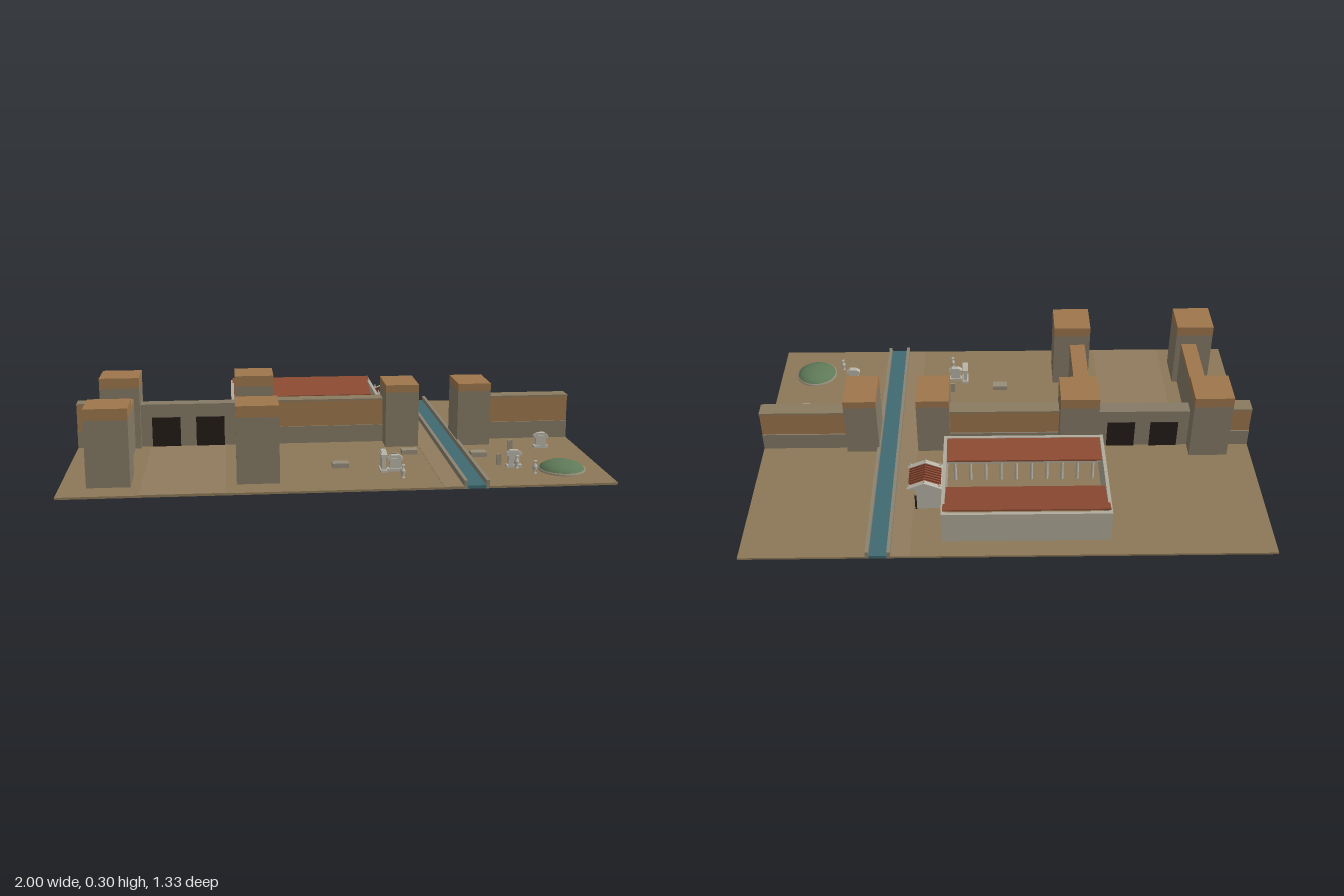
import * as THREE from 'three';

const mat = (color, side = THREE.FrontSide) => new THREE.MeshStandardMaterial({ color, side, roughness: 0.9 });
const M = {
  ground: mat(0x8c7858), road: mat(0x907c5e), stone: mat(0x857a66), brick: mat(0x9e764c),
  coping: mat(0x8a7a60), plaster: mat(0xb0aa9a), marble: mat(0xb8b4a8), tile: mat(0x8c4a32),
  tileRib: mat(0x6f3626), door: mat(0x241c18), water: mat(0x3f6a70), curb: mat(0x8a8270),
  grass: mat(0x5f7a58), tomb: mat(0x968c78),
};

export function createModel() {
  const model = new THREE.Group();
  model.name = 'ancientCityGates';

  const add = (name, geo, material, parent = model) => {
    const mesh = new THREE.Mesh(geo, material);
    mesh.name = name;
    parent.add(mesh);
    return mesh;
  };
  const group = (name) => {
    const g = new THREE.Group();
    g.name = name;
    model.add(g);
    return g;
  };
  // box given by its limits on each axis
  const box = (name, [x0, x1], [y0, y1], [z0, z1], material, parent) => {
    const mesh = add(name, new THREE.BoxGeometry(x1 - x0, y1 - y0, z1 - z0), material, parent);
    mesh.position.set((x0 + x1) / 2, (y0 + y1) / 2, (z0 + z1) / 2);
    return mesh;
  };
  // side profile in (z, y) swept along x
  const sweepX = (name, points, x0, x1, material, parent) => {
    const shape = new THREE.Shape(points.map(([z, y]) => new THREE.Vector2(-z, y)));
    const geo = new THREE.ExtrudeGeometry(shape, { depth: x1 - x0, bevelEnabled: false });
    geo.rotateY(Math.PI / 2).translate(x0, 0, 0);
    return add(name, geo, material, parent);
  };

  const G = 0.008; // ground surface
  const Z = [-0.665, 0.665];

  // Ground, roads and the water channel
  box('groundWest', [-1, 0.437], [0, G], Z, M.ground);
  box('groundEast', [0.53, 1], [0, G], Z, M.ground);
  box('gateRoad', [-0.71, -0.41], [G, 0.0095], [0.04, 0.665], M.road);
  box('streamRoad', [0.365, 0.437], [G, 0.0095], Z, M.road);
  box('water', [0.45, 0.517], [0, 0.012], Z, M.water);
  box('channelCurbWest', [0.437, 0.45], [0, 0.031], Z, M.curb);
  box('channelCurbEast', [0.517, 0.53], [0, 0.031], Z, M.curb);

  // Towers: stone shaft with a mud-brick top
  const tower = (x, z, height, cap) => {
    const g = group('tower');
    box('towerShaft', x, [G, height - cap], z, M.stone, g);
    box('towerTop', x, [height - cap, height], z, M.brick, g);
  };
  for (const x of [[-0.903, -0.747], [-0.37, -0.215]])
    for (const z of [[-0.1, 0.057], [0.412, 0.567]]) tower(x, z, 0.296, 0.042);
  for (const x of [[0.23, 0.363], [0.522, 0.654]]) tower(x, [-0.057, 0.122], 0.262, 0.03);

  // Side walls of the gate court
  for (const x of [[-0.835, -0.77], [-0.348, -0.284]]) {
    box('courtWall', x, [G, 0.19], [0.057, 0.412], M.stone);
    box('courtWallTop', x, [0.19, 0.211], [0.057, 0.412], M.brick);
  }

  // Double gate with dark doors showing on both faces
  box('gateWall', [-0.747, -0.37], [G, 0.181], [-0.03, 0.03], M.stone);
  for (const x of [[-0.703, -0.59], [-0.527, -0.414]])
    box('gateDoor', x, [G, 0.127], [-0.035, 0.035], M.door);

  // City wall: stone footing, brick body, coping
  for (const x of [[-1, -0.903], [-0.215, 0.23], [0.654, 1]]) {
    const g = group('cityWall');
    box('wallFooting', x, [G, 0.078], [-0.032, 0.032], M.stone, g);
    box('wallBrick', x, [0.078, 0.182], [-0.026, 0.026], M.brick, g);
    box('wallCoping', x, [0.182, 0.189], [-0.032, 0.032], M.coping, g);
  }

  // Courtyard hall: four walls, two lean-to roofs and colonnades
  const hall = group('courtyardHall');
  const t = 0.013, hx = [-0.385, 0.25], hz = [-0.588, -0.128], hy = [G, 0.142];
  box('hallBackWall', hx, hy, [hz[0], hz[0] + t], M.plaster, hall);
  box('hallFrontWall', hx, hy, [hz[1] - t, hz[1]], M.plaster, hall);
  box('hallSideWall', [hx[0], hx[0] + t], hy, [hz[0] + t, hz[1] - t], M.plaster, hall);
  box('hallSideWall', [hx[1] - t, hx[1]], hy, [hz[0] + t, hz[1] - t], M.plaster, hall);
  const roof = (zLow, yLow, zHigh, yHigh) => sweepX('hallRoof',
    zLow > zHigh
      ? [[zLow, yLow], [zHigh, yHigh], [zHigh, yHigh - 0.007], [zLow, yLow - 0.007]]
      : [[zLow, yLow], [zLow, yLow - 0.007], [zHigh, yHigh - 0.007], [zHigh, yHigh]],
    hx[0] + 0.006, hx[1] - 0.006, M.tile, hall);
  roof(-0.395, 0.108, -0.575, 0.154);
  roof(-0.245, 0.112, -0.141, 0.139);
  for (const z of [-0.41, -0.235]) {
    box('hallBeam', [hx[0] + t, hx[1] - t], [0.094, 0.104], [z - 0.006, z + 0.006], M.plaster, hall);
    for (let i = 0; i < 10; i++) {
      const col = add('hallColumn', new THREE.CylinderGeometry(0.006, 0.007, 0.086, 10), M.marble, hall);
      col.position.set(-0.34 + i * 0.0606, 0.051, z);
    }
  }

  // Porch on the hall's side: body, gabled tile roof, end pediments
  const porch = group('porch');
  box('porchBody', [0.25, 0.355], [G, 0.127], [-0.405, -0.31], M.marble, porch);
  box('porchDoor', [0.35, 0.357], [G, 0.075], [-0.408, -0.4], M.door, porch);
  box('porchEntablature', [0.25, 0.37], [0.121, 0.129], [-0.412, -0.305], M.marble, porch);
  const gable = (name, z0, z1, x0, x1, y, peak, material) => {
    const s = new THREE.Shape([[x0, y], [x1, y], [(x0 + x1) / 2, peak]].map(p => new THREE.Vector2(...p)));
    const geo = new THREE.ExtrudeGeometry(s, { depth: z1 - z0, bevelEnabled: false });
    add(name, geo.translate(0, 0, z0), material, porch);
  };
  gable('porchRoof', -0.408, -0.308, 0.255, 0.378, 0.129, 0.153, M.tile);
  for (const z of [-0.43, -0.308]) {
    gable('porchPediment', z, z + 0.02, 0.25, 0.383, 0.128, 0.156, M.marble);
    for (const x of [0.258, 0.3165, 0.375]) {
      const finial = add('roofFinial', new THREE.ConeGeometry(0.005, 0.018, 8), M.marble, porch);
      finial.position.set(x, x > 0.3 && x < 0.35 ? 0.161 : 0.143, z + 0.01);
    }
  }
  const slope = Math.atan2(0.024, 0.0615);
  for (const s of [-1, 1]) for (let i = 0; i < 7; i++) {
    const rib = add('tileRib', new THREE.BoxGeometry(0.066, 0.005, 0.004), M.tileRib, porch);
    rib.position.set(0.3165 + s * 0.0308, 0.142, -0.4 + i * 0.014);
    rib.rotation.z = -s * slope;
  }

  // Burial mound with a low stone ring
  const lathe = (name, pts, x, z, material, n = 32) => {
    const mesh = add(name, new THREE.LatheGeometry(pts.map(p => new THREE.Vector2(...p)), n), material);
    mesh.position.set(x, G, z);
  };
  lathe('moundRing', [[0.088, 0], [0.088, 0.008], [0.08, 0.008]], 0.845, 0.488, M.tomb);
  lathe('mound', [[0.085, 0.004], [0.08, 0.013], [0.068, 0.022], [0.05, 0.03], [0.027, 0.035], [0, 0.037]],
    0.845, 0.488, M.grass);

  // Low tomb blocks
  for (const [x, z] of [[0.022, 0.38], [0.31, 0.22], [0.574, 0.276]])
    box('tombBlock', [x - 0.031, x + 0.031], [G, 0.026], [z - 0.02, z + 0.02], M.tomb);

  // Grave slabs: base, slab, cornice and small gable
  const graveSlab = (x, z, width, height, turn = 0) => {
    const g = group('graveSlab');
    g.position.set(x, G, z);
    g.rotation.y = turn;
    const w = width / 2;
    box('slabBase', [-w, w], [0, 0.01], [-0.013, 0.013], M.marble, g);
    box('slab', [-w * 0.72, w * 0.72], [0.01, height - 0.02], [-0.008, 0.008], M.marble, g);
    box('slabCornice', [-w, w], [height - 0.02, height - 0.011], [-0.012, 0.012], M.marble, g);
    const s = new THREE.Shape([[-w, 0], [w, 0], [w * 0.5, 0.011], [-w * 0.5, 0.011]].map(p => new THREE.Vector2(...p)));
    const top = add('slabGable', new THREE.ExtrudeGeometry(s, { depth: 0.02, bevelEnabled: false }), M.marble, g);
    top.position.set(0, height - 0.011, -0.01);
  };
  graveSlab(0.176, 0.443, 0.064, 0.08, Math.PI / 2);
  graveSlab(0.22, 0.447, 0.058, 0.062);
  graveSlab(0.674, 0.437, 0.058, 0.066);
  graveSlab(0.85, 0.181, 0.058, 0.062);

  // Marble vases and small boundary posts
  const vase = [[0.008, 0], [0.008, 0.004], [0.004, 0.008], [0.01, 0.024], [0.009, 0.031],
    [0.004, 0.037], [0.004, 0.044], [0.008, 0.05], [0, 0.05]];
  for (const [x, z] of [[0.235, 0.54], [0.68, 0.457], [0.73, 0.528]]) lathe('graveVase', vase, x, z, M.marble, 14);
  for (const [x, z] of [[0.23, 0.353], [0.625, 0.405], [0.718, 0.212]])
    box('boundaryPost', [x - 0.009, x + 0.009], [G, 0.05], [z - 0.004, z + 0.004], M.tomb);

  return model;
}
